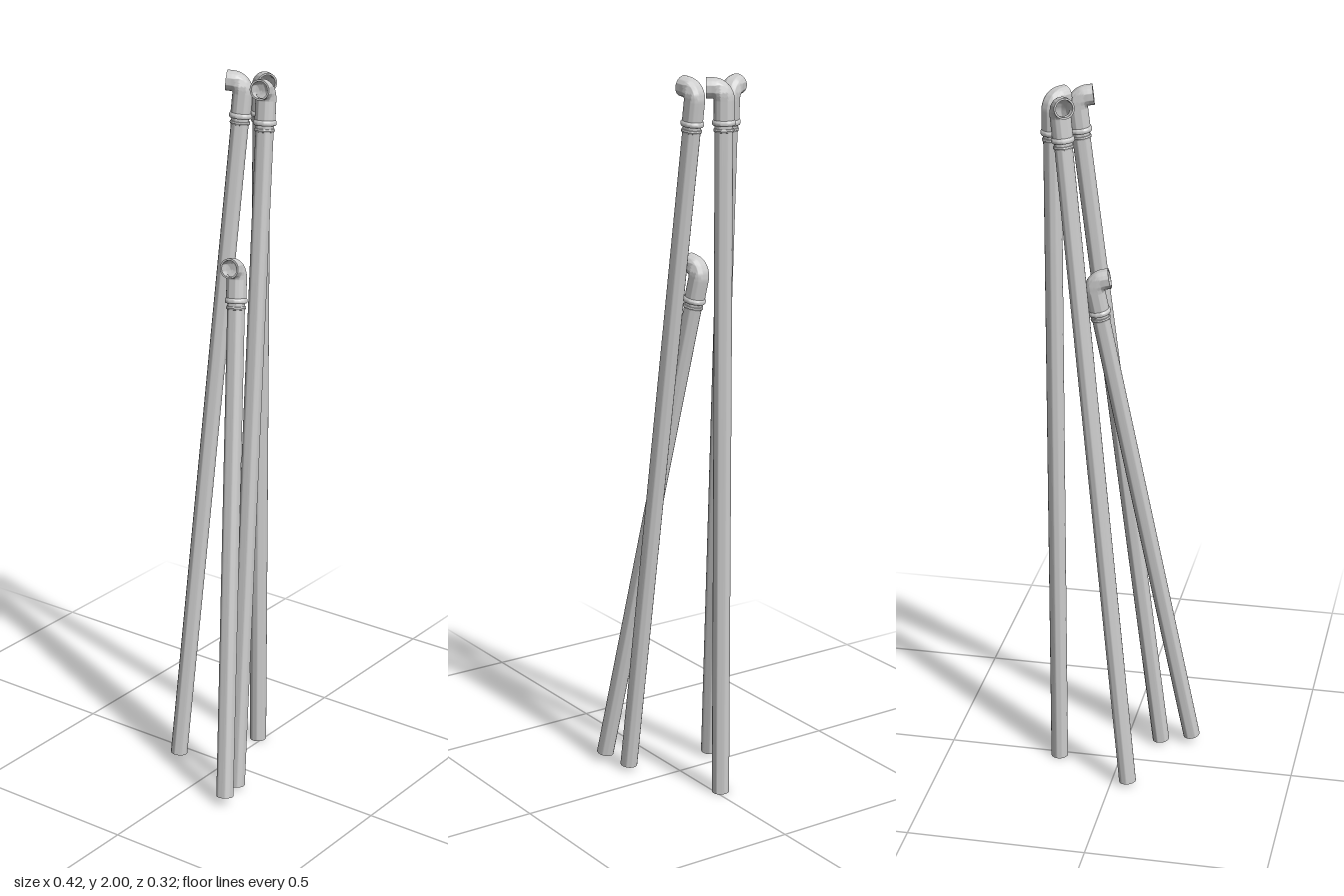
import * as THREE from 'three';
import { toCreasedNormals } from 'three/addons/utils/BufferGeometryUtils.js';

const PIPE_R = 0.024, BORE_R = 0.02, ELBOW_R = 0.0275, ELBOW_BORE = 0.0225;
const BEND = 0.03, REACH = 0.046, SOCKET = 0.09;
const material = new THREE.MeshStandardMaterial({ color: 0xcccccc, side: THREE.DoubleSide });

// closed hollow ring section turned around the pipe axis
function lathe(points, name) {
  const geo = new THREE.LatheGeometry(points.map(([r, y]) => new THREE.Vector2(r, y)), 32);
  const mesh = new THREE.Mesh(toCreasedNormals(geo, 0.6), material);
  mesh.name = name;
  return mesh;
}

// hollow 90 degree elbow: up the pipe axis, then out along local +x; corner at the origin
function makeElbow() {
  const path = new THREE.CurvePath();
  const v = (x, y) => new THREE.Vector3(x, y, 0);
  const k = BEND * 0.448;
  path.add(new THREE.LineCurve3(v(0, -SOCKET), v(0, -BEND)));
  path.add(new THREE.CubicBezierCurve3(v(0, -BEND), v(0, -k), v(k, 0), v(BEND, 0)));
  path.add(new THREE.LineCurve3(v(BEND, 0), v(REACH, 0)));

  const ring = new THREE.Shape().absarc(0, 0, ELBOW_R, 0, Math.PI * 2);
  ring.holes.push(new THREE.Path().absarc(0, 0, ELBOW_BORE, 0, Math.PI * 2, true));
  const geo = new THREE.ExtrudeGeometry(ring, { steps: 30, curveSegments: 32, extrudePath: path });
  const mesh = new THREE.Mesh(toCreasedNormals(geo, 0.7), material);
  mesh.name = 'elbow';
  return mesh;
}

// one pole from its foot to the elbow corner, with the mouth turned towards (mx, mz)
function makePole(name, foot, corner, mx, mz) {
  const pole = new THREE.Group();
  pole.name = name;
  const a = new THREE.Vector3(...foot), b = new THREE.Vector3(...corner);
  const length = a.distanceTo(b);
  const up = b.clone().sub(a).normalize();
  const out = new THREE.Vector3(mx, 0, mz);
  out.addScaledVector(up, -out.dot(up)).normalize();
  const side = new THREE.Vector3().crossVectors(out, up);
  pole.quaternion.setFromRotationMatrix(new THREE.Matrix4().makeBasis(out, up, side));
  pole.position.copy(b);

  const top = -SOCKET + 0.02;
  pole.add(lathe([[BORE_R, -length], [PIPE_R, -length], [PIPE_R, top], [BORE_R, top], [BORE_R, -length]], 'pipe'));
  pole.add(makeElbow());

  // raised socket rim and the narrower clamp ring below it
  const y = -SOCKET;
  pole.add(lathe([
    [PIPE_R, y - 0.006], [0.029, y - 0.006], [0.031, y - 0.003],
    [0.031, y + 0.003], [0.029, y + 0.007], [ELBOW_R - 0.001, y + 0.009]
  ], 'socketRim'));
  pole.add(lathe([
    [PIPE_R - 0.001, y - 0.024], [0.0262, y - 0.023], [0.0275, y - 0.019],
    [0.0262, y - 0.015], [PIPE_R - 0.001, y - 0.014]
  ], 'clampRing'));
  return pole;
}

export function createModel() {
  const model = new THREE.Group();
  model.name = 'pipePoles';
  model.add(
    makePole('uprightPole', [0.177, 0, -0.016], [0.177, 1.972, -0.016], -0.58, 0.81),
    makePole('backPole', [-0.048, 0.012, -0.136], [0.149, 1.966, -0.054], -0.49, -0.87),
    makePole('frontPole', [-0.1, 0.012, 0.109], [0.125, 1.966, 0.037], -0.977, 0.21),
    makePole('shortPole', [-0.187, 0.023, 0.133], [0.071, 1.478, -0.018], -0.985, 0.16)
  );
  return model;
}
